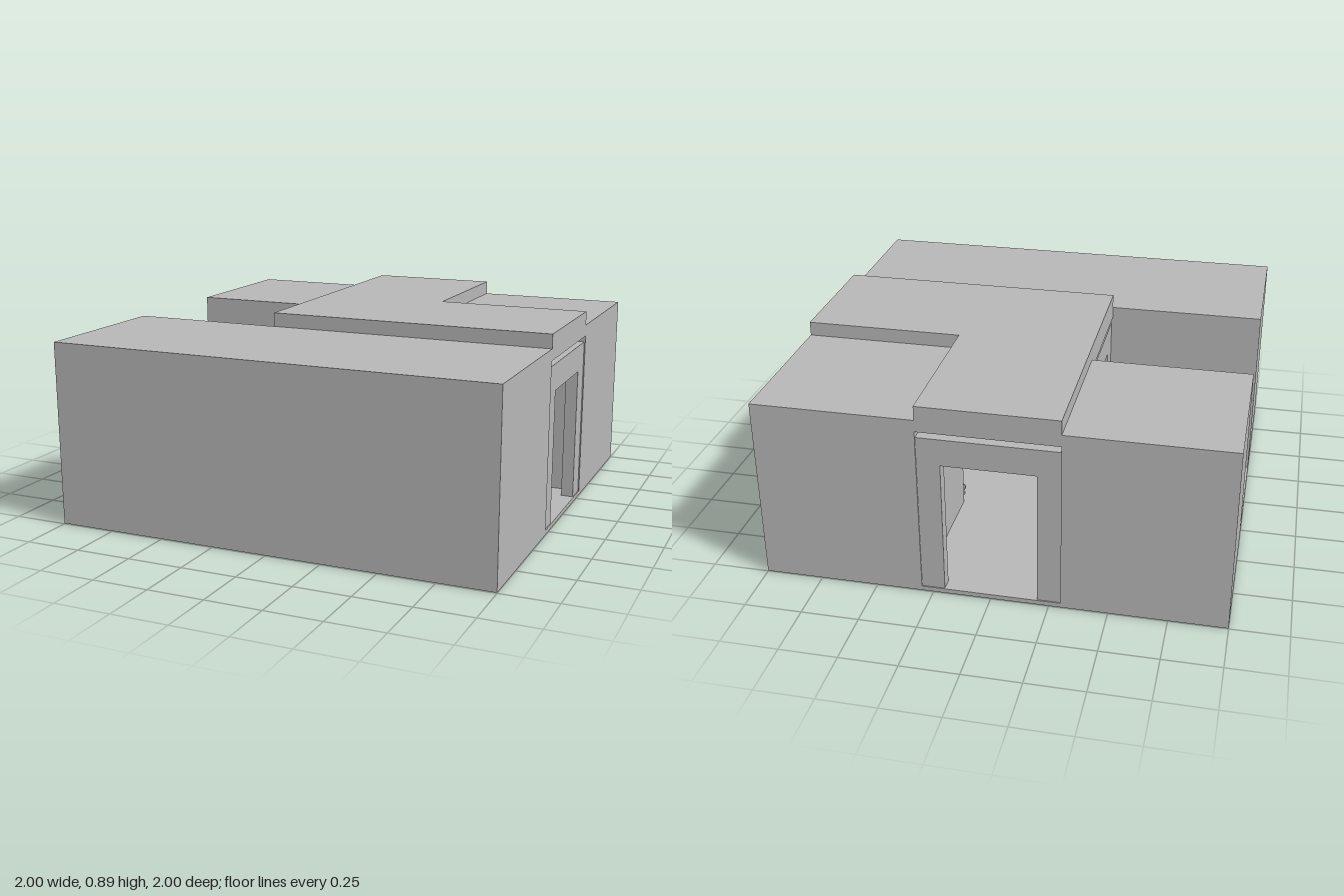
import * as THREE from 'three';

export function createModel() {
  const root = new THREE.Group();
  const stone = new THREE.MeshStandardMaterial({ color: 0xb6b6b6 });
  stone.name = 'plain stone grey';

  const add = (name, geometry, parent = root) => {
    const mesh = new THREE.Mesh(geometry, stone);
    mesh.name = name;
    parent.add(mesh);
    return mesh;
  };
  // Box given by its low and high corners
  const box = (name, a, b, parent) => {
    const size = b.map((v, i) => v - a[i]);
    const mesh = add(name, new THREE.BoxGeometry(...size), parent);
    mesh.position.set(...a.map((v, i) => v + size[i] / 2));
    return mesh;
  };
  // Tapered pole running between two points
  const pole = (name, from, to, r0, r1, parent) => {
    const p = new THREE.Vector3(...from), q = new THREE.Vector3(...to);
    const d = q.clone().sub(p);
    const mesh = add(name, new THREE.CylinderGeometry(r1, r0, d.length(), 10), parent);
    mesh.position.copy(p).addScaledVector(d, 0.5);
    mesh.quaternion.setFromUnitVectors(new THREE.Vector3(0, 1, 0), d.normalize());
  };

  // Floor and the three solid blocks around the passages
  box('floor', [-1, 0, -1], [1, 0.02, 1]);
  box('frontBlock', [-1, 0.02, 0.3], [1, 0.82, 1]);
  box('backRightBlock', [-1, 0.02, -1], [-0.3, 0.82, -0.3]);
  box('backLeftBlock', [0.3, 0.02, -1], [1, 0.82, -0.3]);

  // L-shaped roof slab
  const roof = new THREE.Shape([
    [-0.3, -0.3], [1, -0.3], [1, 0.3], [0.3, 0.3], [0.3, 1], [-0.3, 1],
  ].map(([x, y]) => new THREE.Vector2(x, y)));
  const slab = add('roofSlab', new THREE.ExtrudeGeometry(roof, { depth: 0.115, bevelEnabled: false }));
  slab.rotation.x = -Math.PI / 2;
  slab.position.y = 0.768;

  // Doorway walls, leaving a thin slit under the roof
  const doorShape = new THREE.Shape([
    [-0.3, 0.02], [-0.2, 0.02], [-0.2, 0.62], [0.2, 0.62],
    [0.2, 0.02], [0.3, 0.02], [0.3, 0.74], [-0.3, 0.74],
  ].map(([x, y]) => new THREE.Vector2(x, y)));
  const doorGeometry = new THREE.ExtrudeGeometry(doorShape, { depth: 0.055, bevelEnabled: false });
  for (const [name, x, z, turn] of [
    ['leftDoorway', 0.94, 0, Math.PI / 2],
    ['backDoorway', 0, -0.94, Math.PI],
    ['rightDoorway', -0.24, 0, -Math.PI / 2],
  ]) {
    const door = add(name, doorGeometry);
    door.position.set(x, 0, z);
    door.rotation.y = turn;
  }

  // Round ceiling lights
  for (const x of [-0.16, 0.18]) for (const z of [-0.18, 0.18]) {
    add('ceilingLight', new THREE.CylinderGeometry(0.042, 0.03, 0.03, 20)).position.set(x, 0.753, z);
  }

  // Wall lanterns hanging from brackets
  const lantern = (x, z, turn) => {
    const lamp = new THREE.Group();
    lamp.name = 'wallLantern';
    box('bracket', [-0.01, 0.535, 0], [0.01, 0.553, 0.155], lamp);
    box('backPlate', [-0.02, 0.5, 0], [0.02, 0.58, 0.012], lamp);
    box('hanger', [-0.003, 0.485, 0.143], [0.003, 0.54, 0.149], lamp);
    const part = (name, r, h, y) =>
      add(name, new THREE.CylinderGeometry(r, r, h, 12), lamp).position.set(0, y, 0.146);
    part('lanternCap', 0.019, 0.012, 0.48);
    part('lanternGlass', 0.016, 0.04, 0.455);
    part('lanternBase', 0.019, 0.012, 0.433);
    lamp.position.set(x, 0, z);
    lamp.rotation.y = turn;
    root.add(lamp);
  };
  lantern(0.5, 0.3, Math.PI);
  lantern(-0.3, -0.6, Math.PI / 2);

  // Stack of poles crossing near the top
  const stack = new THREE.Group();
  stack.name = 'poleStack';
  for (let i = 0; i < 3; i++) {
    const a = Math.PI / 2 + i * Math.PI * 2 / 3;
    const x = Math.cos(a), z = Math.sin(a);
    pole('stackedPole', [0.23 + x * 0.085, 0.005, 0.2 + z * 0.085],
      [0.23 - x * 0.035, 0.24, 0.2 - z * 0.035], 0.016, 0.007, stack);
  }
  root.add(stack);

  // Single pole leaning in the back passage
  pole('leaningPole', [-0.26, 0.005, -0.37], [-0.293, 0.25, -0.38], 0.012, 0.007);

  // Small pot by the corner
  const pot = add('pot', new THREE.LatheGeometry([
    [0, 0.005], [0.036, 0.005], [0.05, 0.03], [0.042, 0.048], [0.055, 0.06],
    [0.048, 0.06], [0.036, 0.045], [0, 0.03],
  ].map(([x, y]) => new THREE.Vector2(x, y)), 20));
  pot.position.set(0.36, 0, -0.25);

  return root;
}
